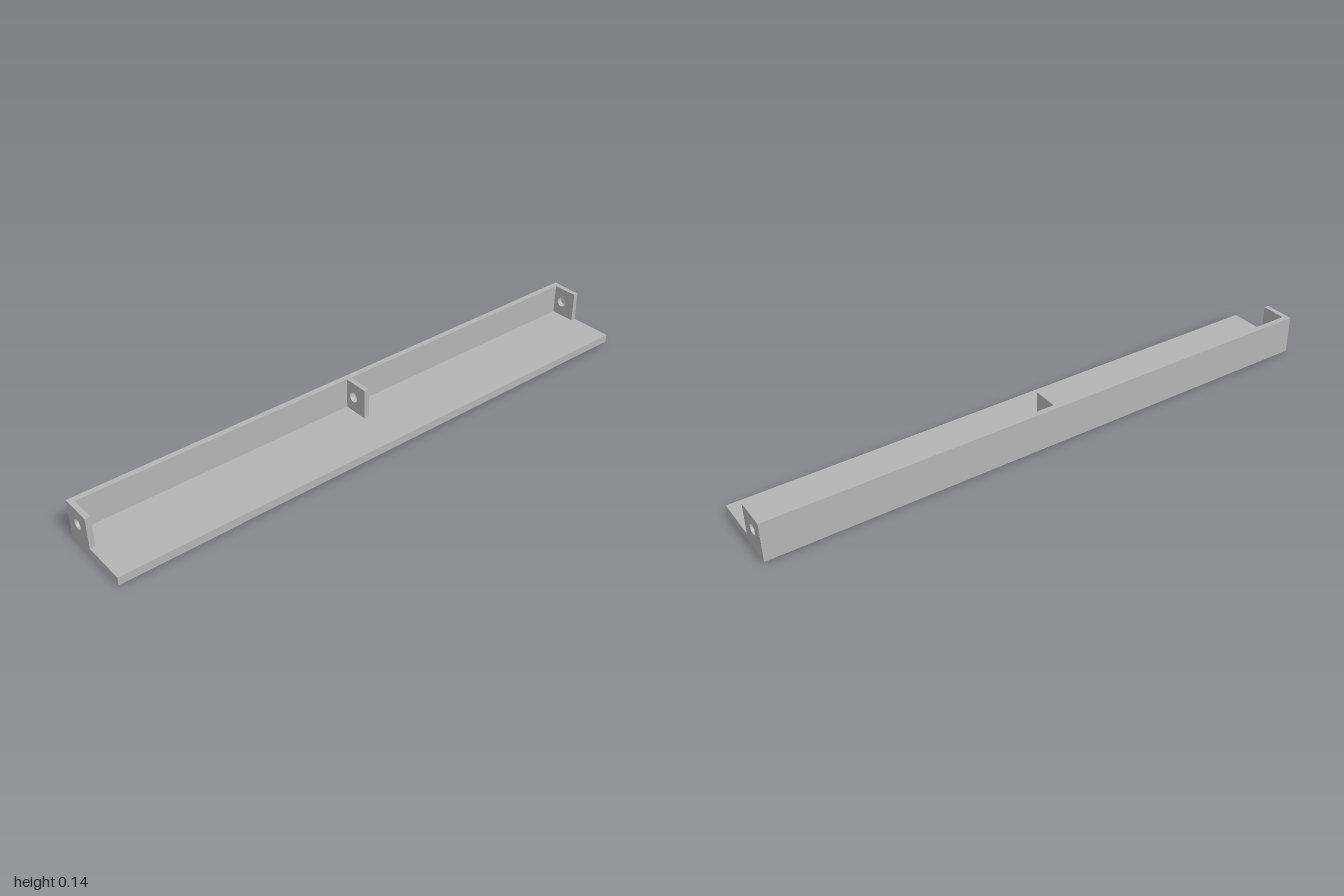
import * as THREE from 'three';

// Extrude a (-z, y) profile along x, centred on x = 0.
function extrudeAlongX(shape, length) {
  const geometry = new THREE.ExtrudeGeometry(shape, {
    depth: length, bevelEnabled: false, curveSegments: 24,
  });
  geometry.translate(0, 0, -length / 2);
  geometry.rotateY(Math.PI / 2);
  return geometry;
}

export function createModel() {
  const group = new THREE.Group();
  const grey = new THREE.MeshStandardMaterial({ color: 0xb4b4b4 });
  grey.name = 'grey';

  const front = 0.131, wallFront = -0.111, tabFront = -0.022;
  const chamfer = 0.004, floorTop = 0.032, top = 0.138;

  const add = (name, geometry, x = 0) => {
    const mesh = new THREE.Mesh(geometry, grey);
    mesh.name = name;
    mesh.position.x = x;
    group.add(mesh);
  };

  // L-shaped body: floor shelf and back wall
  const profile = new THREE.Shape([
    [-front, chamfer], [front, chamfer], [front, top],
    [-wallFront, top], [-wallFront, floorTop], [-front, floorTop],
  ].map(([u, v]) => new THREE.Vector2(u, v)));
  add('shelfAndBackWall', extrudeAlongX(profile, 2));

  // Chamfered underside, its lower edge drawn inwards
  const foot = new THREE.BoxGeometry(2, chamfer, front * 2);
  foot.translate(0, chamfer / 2, 0);
  const p = foot.attributes.position;
  for (let i = 0; i < p.count; i++) {
    if (p.getY(i) < chamfer / 2) {
      p.setX(i, p.getX(i) - Math.sign(p.getX(i)) * chamfer);
      p.setZ(i, p.getZ(i) - Math.sign(p.getZ(i)) * chamfer);
    }
  }
  foot.computeVertexNormals();
  add('chamferedUnderside', foot);

  // Three upright tabs with a round hole
  const thickness = 0.018;
  const tab = new THREE.Shape([
    [-tabFront, floorTop], [-wallFront, floorTop], [-wallFront, top], [-tabFront, top],
  ].map(([u, v]) => new THREE.Vector2(u, v)));
  const hole = new THREE.Path();
  hole.absarc(0.078, 0.085, 0.018, 0, Math.PI * 2, true);
  tab.holes.push(hole);
  const tabGeometry = extrudeAlongX(tab, thickness);
  const end = 1 - thickness / 2;
  add('rightTab', tabGeometry, -end);
  add('middleTab', tabGeometry, 0);
  add('leftTab', tabGeometry, end);

  return group;
}
